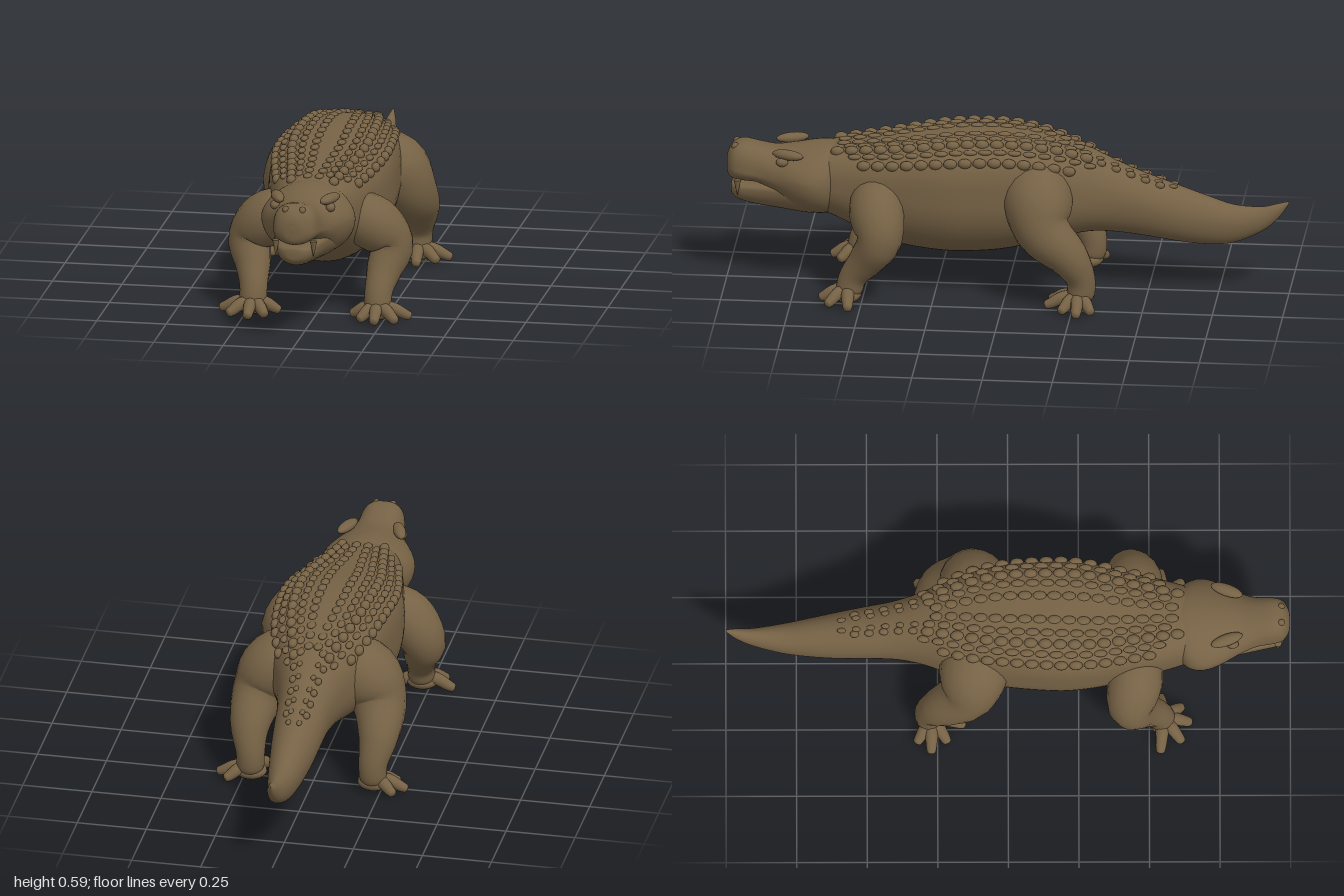
import * as THREE from 'three';
import { mergeGeometries } from 'three/addons/utils/BufferGeometryUtils.js';

const hide = new THREE.MeshStandardMaterial({ color: 0x766245 });
hide.name = 'brownHide';
const V = (x, y, z) => new THREE.Vector3(x, y, z);

// Closed smooth skin over rings: ring(t, angle) gives a point, centre(t) closes the ends
function skin(ring, centre, rows, cols) {
  const pos = [], idx = [];
  for (let i = 0; i <= rows; i++) {
    const t = 0.5 - 0.5 * Math.cos(Math.PI * i / rows);
    for (let j = 0; j < cols; j++) pos.push(...ring(t, 2 * Math.PI * j / cols).toArray());
  }
  const last = rows * cols, c0 = last + cols, c1 = c0 + 1;
  pos.push(...centre(0).toArray(), ...centre(1).toArray());
  for (let j = 0; j < cols; j++) {
    const k = (j + 1) % cols;
    for (let i = 0; i < rows; i++) {
      const a = i * cols + j, b = i * cols + k;
      idx.push(a, b, a + cols, b, b + cols, a + cols);
    }
    idx.push(c0, k, j, c1, last + j, last + k);
  }
  const g = new THREE.BufferGeometry();
  g.setAttribute('position', new THREE.Float32BufferAttribute(pos, 3));
  g.setIndex(idx);
  g.computeVertexNormals();
  return g;
}

// Cross-sections along z: [z, half width, top, widest height, bottom, upper roundness]
function section(stations) {
  const a = new THREE.CatmullRomCurve3(stations.map(s => V(s[0], s[1], s[2])), false, 'catmullrom');
  const b = new THREE.CatmullRomCurve3(stations.map(s => V(s[3], s[4], s[5])), false, 'catmullrom');
  const ring = (t, ang) => {
    const p = a.getPoint(t), q = b.getPoint(t), c = Math.cos(ang), s = Math.sin(ang);
    if (s < 0) return V(p.y * c, q.x + s * (q.x - q.y), p.x);
    return V(p.y * Math.sign(c) * Math.abs(c) ** q.z, q.x + (p.z - q.x) * s ** q.z, p.x);
  };
  const centre = t => V(0, b.getPoint(t).x, a.getPoint(t).x);
  // Surface point at a given z
  const at = (z, ang) => {
    let lo = 0, hi = 1;
    for (let i = 0; i < 24; i++) {
      const m = (lo + hi) / 2;
      if (a.getPoint(m).x < z) lo = m; else hi = m;
    }
    return ring(lo, ang);
  };
  return { ring, centre, at };
}

// Tapering round limb through [x, y, z, radius] points, with rounded ends
function limb(points, side, ref, rows = 30, cols = 20) {
  const path = new THREE.CatmullRomCurve3(points.map(p => V(p[0] * side, p[1], p[2])));
  const radii = new THREE.CatmullRomCurve3(points.map((p, i) => V(p[3], i, 0)), false, 'catmullrom');
  const ring = (t, ang) => {
    const T = path.getTangent(t);
    const n = ref.clone().cross(T).normalize(), b = T.clone().cross(n);
    const e = Math.max(0, 1 - Math.min(t, 1 - t) / 0.1);
    const r = radii.getPoint(t).x * Math.sqrt(Math.max(0.0001, 1 - e * e));
    return path.getPoint(t).addScaledVector(n, r * Math.cos(ang)).addScaledVector(b, r * Math.sin(ang));
  };
  return skin(ring, t => path.getPoint(t), rows, cols);
}

function blob(x, y, z, sx, sy, sz, w = 16, h = 12) {
  return new THREE.SphereGeometry(1, w, h).scale(sx, sy, sz).translate(x, y, z);
}

export function createModel() {
  const model = new THREE.Group();
  model.name = 'crestedReptile';
  const add = (name, g, parent = model) => {
    const m = new THREE.Mesh(g, hide);
    m.name = name;
    parent.add(m);
    return m;
  };

  // Trunk and tail in one skin
  const body = section([
    [-1, .004, .352, .347, .342, 1], [-.96, .018, .342, .315, .285, 1],
    [-.9, .03, .328, .28, .235, 1], [-.8, .05, .333, .27, .192, 1],
    [-.7, .066, .365, .28, .185, 1], [-.6, .08, .4, .3, .195, 1],
    [-.5, .09, .435, .33, .21, 1], [-.4, .1, .475, .35, .222, .95],
    [-.3, .125, .52, .36, .225, .85], [-.2, .165, .555, .37, .205, .75],
    [-.1, .195, .577, .37, .18, .65], [0, .21, .587, .37, .155, .6],
    [.1, .219, .587, .37, .143, .6], [.2, .223, .58, .37, .14, .6],
    [.3, .213, .565, .37, .148, .6], [.4, .193, .55, .37, .165, .65],
    [.5, .17, .537, .38, .2, .7], [.6, .145, .525, .385, .25, .75],
    [.68, .12, .51, .4, .28, .8],
  ]);
  add('trunkAndTail', skin(body.ring, body.centre, 90, 56));

  // Skull with broad jowls
  const skull = section([
    [.6, .12, .52, .4, .29, .9], [.64, .157, .525, .4, .268, 1],
    [.69, .168, .522, .405, .268, 1.1], [.75, .15, .512, .41, .285, 1.1],
    [.82, .112, .503, .41, .335, 1], [.88, .088, .512, .415, .37, .85],
    [.94, .08, .522, .425, .375, .75], [.975, .068, .51, .43, .38, .8],
    [.995, .038, .48, .435, .395, 1], [1, .004, .445, .44, .435, 1],
  ]);
  add('skull', skin(skull.ring, skull.centre, 44, 44));

  // Lower jaw set slightly inside the upper lip
  const jaw = section([
    [.6, .1, .39, .36, .265, 1], [.7, .13, .39, .36, .264, 1],
    [.8, .1, .385, .36, .274, .8], [.9, .075, .375, .355, .287, .6],
    [.955, .06, .372, .35, .302, .6], [.98, .035, .37, .35, .32, .8],
    [.985, .003, .352, .35, .345, 1],
  ]);
  add('lowerJaw', skin(jaw.ring, jaw.centre, 30, 36));

  // Armour bumps in rows along the back: [angle, front z, rear z, width, height, start offset]
  const rows = [
    [.62, .5, -.25, .017, .018, 0], [.9, .56, -.3, .014, .01, .025],
    [1.13, .6, -.55, .018, .018, 0], [1.33, .58, -.6, .014, .01, .025],
    [1.5, .58, -.3, .016, .009, 0],
  ];
  const bumps = [];
  for (const s of [1, -1]) for (const [ang, z0, z1, w, h, off] of rows) {
    for (let z = z0 - off; z > z1; z -= .052) {
      const p = body.at(z, ang), k = z < -.3 ? .7 : 1;
      bumps.push(blob(p.x * s, p.y, z, w * k, h * k, .025 * k, 10, 8));
    }
  }
  add('backScutes', mergeGeometries(bumps));

  for (const s of [1, -1]) {
    const side = s > 0 ? 'left' : 'right';

    // Face details
    const brow = new THREE.SphereGeometry(1, 18, 12).scale(.022, .018, .06);
    const b = add(side + 'Brow', brow);
    b.position.set(.094 * s, .501, .775);
    b.rotation.y = -.35 * s;
    add(side + 'Eye', blob(.1 * s, .475, .795, .017, .016, .022));
    add(side + 'Nostril', blob(.03 * s, .505, .967, .012, .014, .014));
    const fang = new THREE.ConeGeometry(.013, .06, 12).rotateX(Math.PI);
    add(side + 'Fang', fang.translate(.068 * s, .362, .957));

    // Front leg
    const front = new THREE.Group();
    front.name = side + 'FrontLeg';
    model.add(front);
    add('frontLimb', limb([[.08, .37, .46, .085], [.19, .33, .45, .098], [.253, .25, .435, .081],
      [.237, .17, .48, .064], [.225, .1, .53, .05], [.225, .025, .55, .05]], s, V(0, 0, 1)), front);

    // Hind leg
    const hind = new THREE.Group();
    hind.name = side + 'HindLeg';
    model.add(hind);
    add('hindLimb', limb([[.06, .41, -.1, .11], [.16, .38, -.12, .125], [.215, .29, -.145, .1],
      [.232, .2, -.235, .073], [.222, .11, -.28, .052], [.222, .025, -.275, .05]], s, V(0, 0, 1)), hind);

    // Feet with five spread toes each
    const feet = [
      [front, .225, .55, [[.338, .54], [.3, .615], [.228, .645], [.17, .615], [.132, .54]]],
      [hind, .222, -.27, [[.338, -.272], [.3, -.215], [.235, -.158], [.165, -.17], [.302, -.322]]],
    ];
    for (const [leg, px, pz, tips] of feet) {
      add('palm', blob(px * s, .035, pz, .058, .03, .05), leg);
      for (const [x, z] of tips) {
        const mid = k => [px + (x - px) * k, pz + (z - pz) * k];
        const [ax, az] = mid(.5), [bx, bz] = mid(.85);
        add('toe', limb([[px, .05, pz, .026], [ax, .045, az, .023], [bx, .026, bz, .019],
          [x + (x - px) * .07, .017, z + (z - pz) * .07, .014]], s, V(0, 1, 0), 16, 12), leg);
      }
    }
  }
  return model;
}
